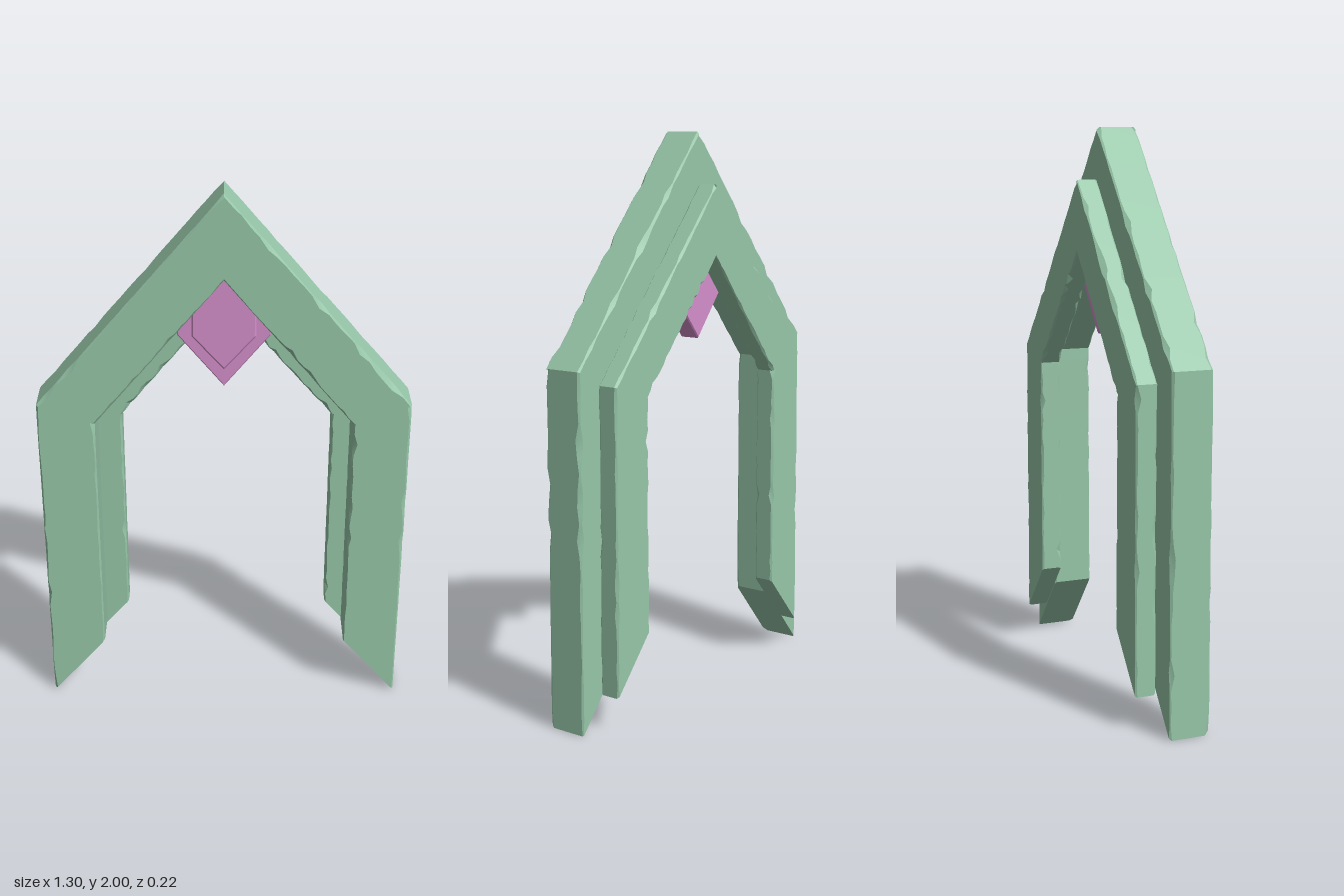
import * as THREE from 'three';
import { toCreasedNormals } from 'three/addons/utils/BufferGeometryUtils.js';

const stone = new THREE.MeshStandardMaterial({ color: 0x97c7a9 });
const gem = new THREE.MeshStandardMaterial({ color: 0xd48fcb });

let seed = 7;
const rand = () => (seed = (seed * 16807) % 2147483647) / 2147483647;

// Straight stone beam between two mitred ends, with irregular worn edges.
// Each end is [outer point, inner point]; side = -1 mirrors it in x.
function beam(name, start, end, z0, z1, side, shift) {
  const steps = 22, pos = [], idx = [];
  const at = (k, t) => {
    const a = start[k], b = end[k];
    const px = p => (p[0] === 0 ? 0 : side * p[0] + shift);
    return new THREE.Vector3(px(a) + (px(b) - px(a)) * t, a[1] + (b[1] - a[1]) * t, 0);
  };
  for (let i = 0; i <= steps; i++) {
    const t = i / steps;
    const o = at(0, t), n = at(1, t);
    const corners = [[o, z1], [o, z0], [n, z0], [n, z1]]
      .map(([p, z]) => new THREE.Vector3(p.x, p.y, z));
    corners.forEach((c, k) => {
      // Occasional deeper chips among small chamfers
      const cut = 0.003 + 0.006 * rand() + (rand() > 0.88 ? 0.009 : 0);
      for (const other of [corners[(k + 3) % 4], corners[(k + 1) % 4]]) {
        const p = c.clone().add(other.clone().sub(c).setLength(cut));
        pos.push(p.x, p.y, p.z);
      }
    });
  }
  const tri = (a, b, c) => (side > 0 ? idx.push(a, b, c) : idx.push(a, c, b));
  for (let i = 0; i < steps; i++) {
    for (let j = 0; j < 8; j++) {
      const a = i * 8 + j, b = i * 8 + (j + 1) % 8;
      tri(a, b, b + 8);
      tri(a, b + 8, a + 8);
    }
  }
  for (let j = 1; j < 7; j++) {
    tri(0, j + 1, j);
    tri(steps * 8, steps * 8 + j, steps * 8 + j + 1);
  }
  const geo = new THREE.BufferGeometry();
  geo.setAttribute('position', new THREE.Float32BufferAttribute(pos, 3));
  geo.setIndex(idx);
  const mesh = new THREE.Mesh(toCreasedNormals(geo, 0.5), stone);
  mesh.name = name;
  return mesh;
}

// Pointed arch: two legs with slanted feet and two sloping rafters
function arch(name, foot, shoulder, apex, z0, z1, shift) {
  const group = new THREE.Group();
  group.name = name;
  for (const side of [1, -1]) {
    const label = side > 0 ? 'left' : 'right';
    group.add(beam(label + 'Leg', foot, shoulder, z0, z1, side, shift));
    group.add(beam(label + 'Rafter', shoulder, apex, z0, z1, side, shift));
  }
  return group;
}

// Six-sided upright diamond with bevelled front and back edges
function diamond(name, halfWidth, bottom, low, high, top, z0, z1, bevel) {
  const shape = new THREE.Shape([
    [0, bottom], [halfWidth, low], [halfWidth, high],
    [0, top], [-halfWidth, high], [-halfWidth, low],
  ].map(([x, y]) => new THREE.Vector2(x, y)));
  const geo = new THREE.ExtrudeGeometry(shape, {
    depth: z1 - z0 - 2 * bevel, bevelSize: bevel, bevelOffset: -bevel,
    bevelThickness: bevel, bevelSegments: 1,
  });
  geo.translate(0, 0, z0 + bevel);
  const mesh = new THREE.Mesh(geo, gem);
  mesh.name = name;
  return mesh;
}

export function createModel() {
  const model = new THREE.Group();
  model.name = 'pointedArchway';

  model.add(arch('frontArch',
    [[0.65, 0], [0.45, 0.235]],
    [[0.65, 1.235], [0.45, 1.163]],
    [[0, 2], [0, 1.7]], -0.035, 0.11, 0));
  model.add(arch('rearArch',
    [[0.545, 0.12], [0.375, 0.315]],
    [[0.545, 1.18], [0.375, 1.125]],
    [[0, 1.82], [0, 1.57]], -0.11, -0.035, 0.01));

  // Hanging keystone ornament under the apex
  model.add(diamond('keystoneBack', 0.16, 1.28, 1.475, 1.515, 1.71, -0.033, 0.045, 0.004));
  model.add(diamond('keystoneFront', 0.11, 1.36, 1.485, 1.57, 1.7, 0.03, 0.082, 0.006));
  return model;
}
